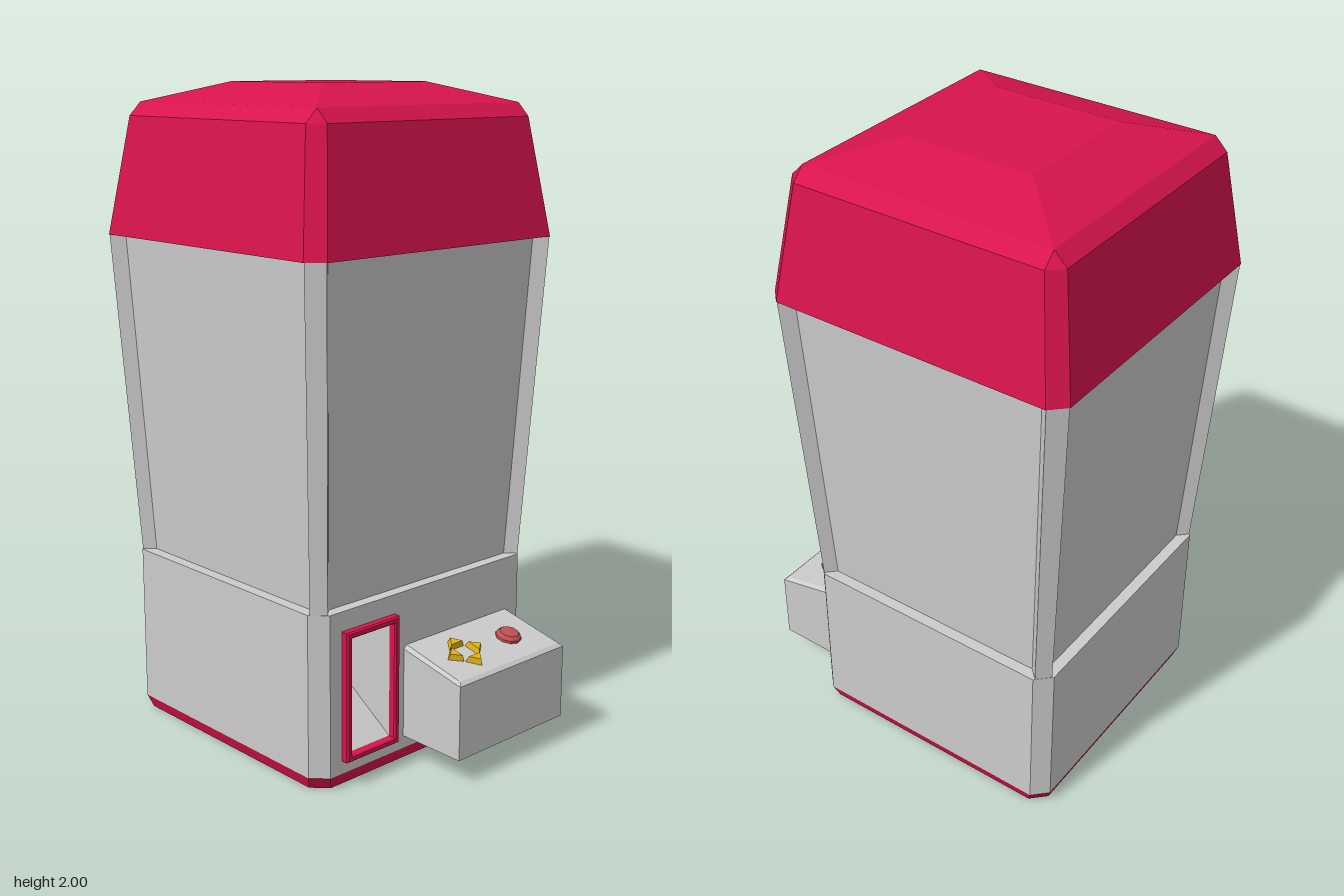
import * as THREE from 'three';

const GREY = 0xcccccc, RED = 0xd8144c, YELLOW = 0xe6b414, BUTTON = 0xc05050;

function part(name, geometry, color, side = THREE.FrontSide) {
  const mesh = new THREE.Mesh(geometry, new THREE.MeshStandardMaterial({ color, side, flatShading: true }));
  mesh.name = name;
  return mesh;
}

// Skins a stack of rings (arrays of [x, y, z]); caps are fans, skipLast leaves the closing face open.
function loft(rings, { bottom = true, top = true, skipLast = false } = {}) {
  const out = [];
  const n = rings[0].length;
  const tri = (a, b, c) => out.push(...a, ...b, ...c);
  for (let r = 0; r + 1 < rings.length; r++) {
    const lo = rings[r], hi = rings[r + 1];
    for (let i = 0; i < (skipLast ? n - 1 : n); i++) {
      const j = (i + 1) % n;
      tri(lo[i], lo[j], hi[j]);
      tri(lo[i], hi[j], hi[i]);
    }
  }
  const cap = (ring, up) => {
    const mid = [0, 1, 2].map(k => ring.reduce((s, p) => s + p[k], 0) / n);
    ring.forEach((p, i) => {
      const q = ring[(i + 1) % n];
      up ? tri(mid, p, q) : tri(mid, q, p);
    });
  };
  if (bottom) cap(rings[0], false);
  if (top) cap(rings[rings.length - 1], true);
  const g = new THREE.BufferGeometry();
  g.setAttribute('position', new THREE.Float32BufferAttribute(out, 3));
  g.computeVertexNormals();
  return g;
}

// Square ring with cut corners; inset > 0 sinks the four sides behind the corner posts.
function ring(y, half, cut, inset = 0) {
  const c = half - cut;
  let corner = [[c, half], [half, c]];
  if (inset) corner = [[c - inset, half - inset], ...corner, [half - inset, c - inset]];
  const pts = [];
  for (let k = 0; k < 4; k++) {
    corner.forEach(([x, z]) => pts.push([x, y, z]));
    corner = corner.map(([x, z]) => [z, -x]);
  }
  return pts;
}

function rect(shape, x0, y0, x1, y1) {
  shape.moveTo(x0, y0).lineTo(x1, y0).lineTo(x1, y1).lineTo(x0, y1).closePath();
  return shape;
}

export function createModel() {
  const model = new THREE.Group();
  model.name = 'clawMachine';

  // Cabinet, centred a little behind the origin
  const cabinet = new THREE.Group();
  cabinet.name = 'cabinet';
  cabinet.position.z = -0.09;
  model.add(cabinet);
  const half = 0.445, cut = 0.045;

  cabinet.add(part('footTrim', loft([ring(0, 0.43, 0.045), ring(0.04, half, cut)]), RED));
  cabinet.add(part('base', loft([ring(0.04, half, cut), ring(0.54, half, cut)], { skipLast: true }), GREY));
  cabinet.add(part('glassCase', loft([ring(0.54, 0.44, 0.036, 0.031), ring(1.55, 0.493, 0.043, 0.035)]), GREY));
  cabinet.add(part('roof', loft([
    ring(1.545, 0.495, 0.045), ring(1.9, 0.44, 0.04), ring(1.94, 0.4, 0), ring(2, 0.205, 0)
  ]), RED));

  // Base front with the prize opening
  const hole = [-0.335, 0.1, -0.165, 0.46];
  const front = rect(new THREE.Shape(), -half + cut, 0.04, half - cut, 0.54);
  front.holes.push(rect(new THREE.Path(), ...hole));
  const frontPanel = part('baseFront', new THREE.ShapeGeometry(front), GREY);
  frontPanel.position.z = half;
  cabinet.add(frontPanel);

  // Prize chute with a sloping floor
  const [x0, y0, x1, y1] = hole;
  const mouth = (z, floor) => [[x0, floor, z], [x1, floor, z], [x1, y1, z], [x0, y1, z]];
  cabinet.add(part('prizeChute', loft([mouth(half, y0), mouth(half - 0.2, 0.23)], { bottom: false }),
    GREY, THREE.DoubleSide));

  // Raised frame round the opening
  const frame = rect(new THREE.Shape(), x0 - 0.02, y0 - 0.02, x1 + 0.02, y1 + 0.02);
  frame.holes.push(rect(new THREE.Path(), ...hole));
  const frameMesh = part('chuteFrame', new THREE.ExtrudeGeometry(frame, {
    depth: 0.02, bevelEnabled: true, bevelThickness: 0.005, bevelSize: 0.004, bevelOffset: -0.004, bevelSegments: 1
  }), RED);
  frameMesh.position.z = half;
  cabinet.add(frameMesh);

  // Control console with a sloping, bevelled top
  const deck = (inset, yBack, yFront) => [
    [-0.105 + inset, yFront, 0.585 - inset], [0.355 - inset, yFront, 0.585 - inset],
    [0.355 - inset, yBack, 0.35], [-0.105 + inset, yBack, 0.35]
  ];
  model.add(part('console', loft([deck(0, 0.08, 0.08), deck(0, 0.36, 0.31), deck(0.011, 0.371, 0.32)]), GREY));

  // Controls lying on the slope
  const controls = new THREE.Group();
  controls.name = 'controls';
  controls.position.set(0, 0.343, 0.475);
  controls.rotation.x = 0.23;
  model.add(controls);

  for (let k = 0; k < 4; k++) {
    const arm = new THREE.Group();
    arm.name = 'directionButton';
    arm.position.x = 0.03;
    arm.rotation.y = k * Math.PI / 2;
    const arrow = part('arrow', new THREE.CylinderGeometry(0.02, 0.026, 0.02, 3), YELLOW);
    arrow.scale.x = 1.35;
    arrow.position.set(0, 0.008, 0.046);
    arm.add(arrow);
    controls.add(arm);
  }

  const dome = [[0.04, -0.005], [0.04, 0.008], [0.03, 0.019], [0, 0.021]].map(p => new THREE.Vector2(...p));
  const button = part('grabButton', new THREE.LatheGeometry(dome, 10), BUTTON);
  button.position.x = 0.225;
  controls.add(button);

  return model;
}
